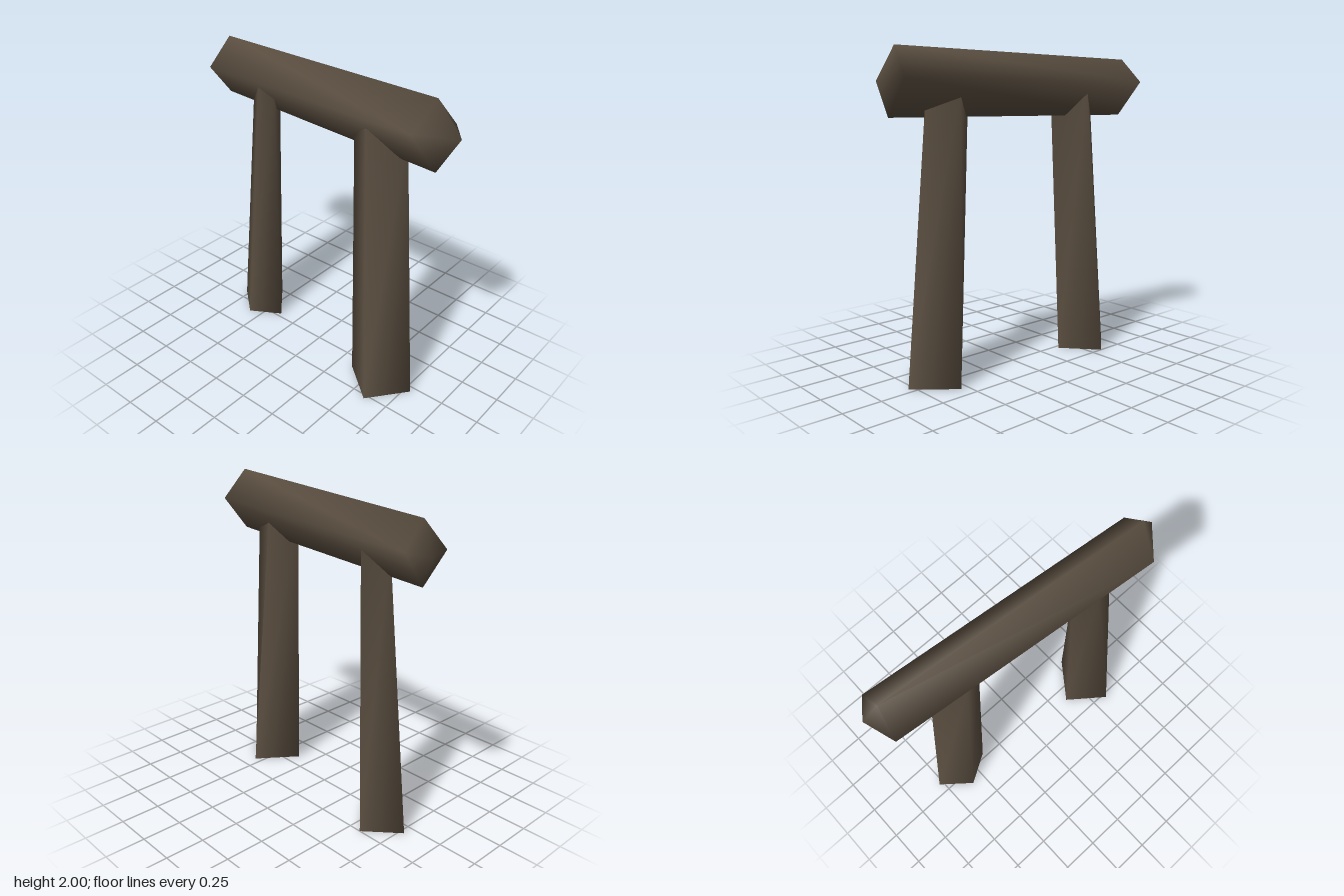
import * as THREE from 'three';

// Skin between 4-cornered rings; each ring runs counterclockwise seen from the sweep's end.
// Corners are shared along the length, so the sides shade smoothly.
function loft(rings, startTip, endTip) {
  const points = rings.flat();
  const index = [];
  const n = 4;
  for (let i = 0; i < rings.length - 1; i++) {
    for (let j = 0; j < n; j++) {
      const a = i * n + j, b = i * n + (j + 1) % n;
      index.push(a, b, b + n, a, b + n, a + n);
    }
  }
  const last = (rings.length - 1) * n;
  if (startTip) {
    const t = points.push(startTip) - 1;
    for (let j = 0; j < n; j++) index.push(t, (j + 1) % n, j);
  }
  if (endTip) {
    const t = points.push(endTip) - 1;
    for (let j = 0; j < n; j++) index.push(t, last + j, last + (j + 1) % n);
  }
  const geometry = new THREE.BufferGeometry();
  geometry.setAttribute('position', new THREE.Float32BufferAttribute(points.flat(), 3));
  geometry.setIndex(index);
  geometry.computeVertexNormals();
  return geometry;
}

export function createModel() {
  const group = new THREE.Group();
  const stone = new THREE.MeshStandardMaterial({ color: 0x5a4e40 });
  stone.name = 'dark brown stone';

  function add(name, geometry, parent = group) {
    const mesh = new THREE.Mesh(geometry, stone);
    mesh.name = name;
    parent.add(mesh);
  }

  // Leaning post: corners are [x, z] in the order right, back, left, front
  function post(name, base, top) {
    const part = new THREE.Group();
    part.name = name;
    const ring = (corners, y) => corners.map(([x, z]) => [x, y, z]);
    const foot = ring(base, 0), head = ring(top, 1.75);
    add(name + 'Sides', loft([foot, head]), part);

    // Flat foot and the head, which sits inside the beam
    const middle = (r) => [0, 1, 2].map((k) => r.reduce((s, p) => s + p[k], 0) / 4);
    add(name + 'Foot', loft([foot], middle(foot)), part);
    add(name + 'Head', loft([head], null, middle(head)), part);
    group.add(part);
  }

  post('leftPost',
    [[0.79, 0.04], [0.55, -0.16], [0.36, 0.09], [0.6, 0.28]],
    [[0.64, 0.02], [0.45, -0.06], [0.305, 0.06], [0.44, 0.135]]);
  post('rightPost',
    [[-0.39, -0.03], [-0.58, -0.25], [-0.78, -0.07], [-0.59, 0.09]],
    [[-0.345, 0.02], [-0.48, -0.18], [-0.605, -0.08], [-0.45, 0.05]]);

  // Lintel: diamond section with blunt points; corners run top, front, bottom, back
  add('lintel', loft(
    [
      [[-0.87, 1.95, -0.13], [-0.91, 1.77, 0.02], [-0.865, 1.58, -0.11], [-0.88, 1.8, -0.285]],
      [[0.825, 2.0, 0.05], [0.77, 1.84, 0.215], [0.86, 1.6, 0.075], [0.86, 1.82, -0.1]],
    ],
    [-0.97, 1.77, -0.18],
    [0.965, 1.8, -0.0 + 0.02],
  ));

  return group;
}
